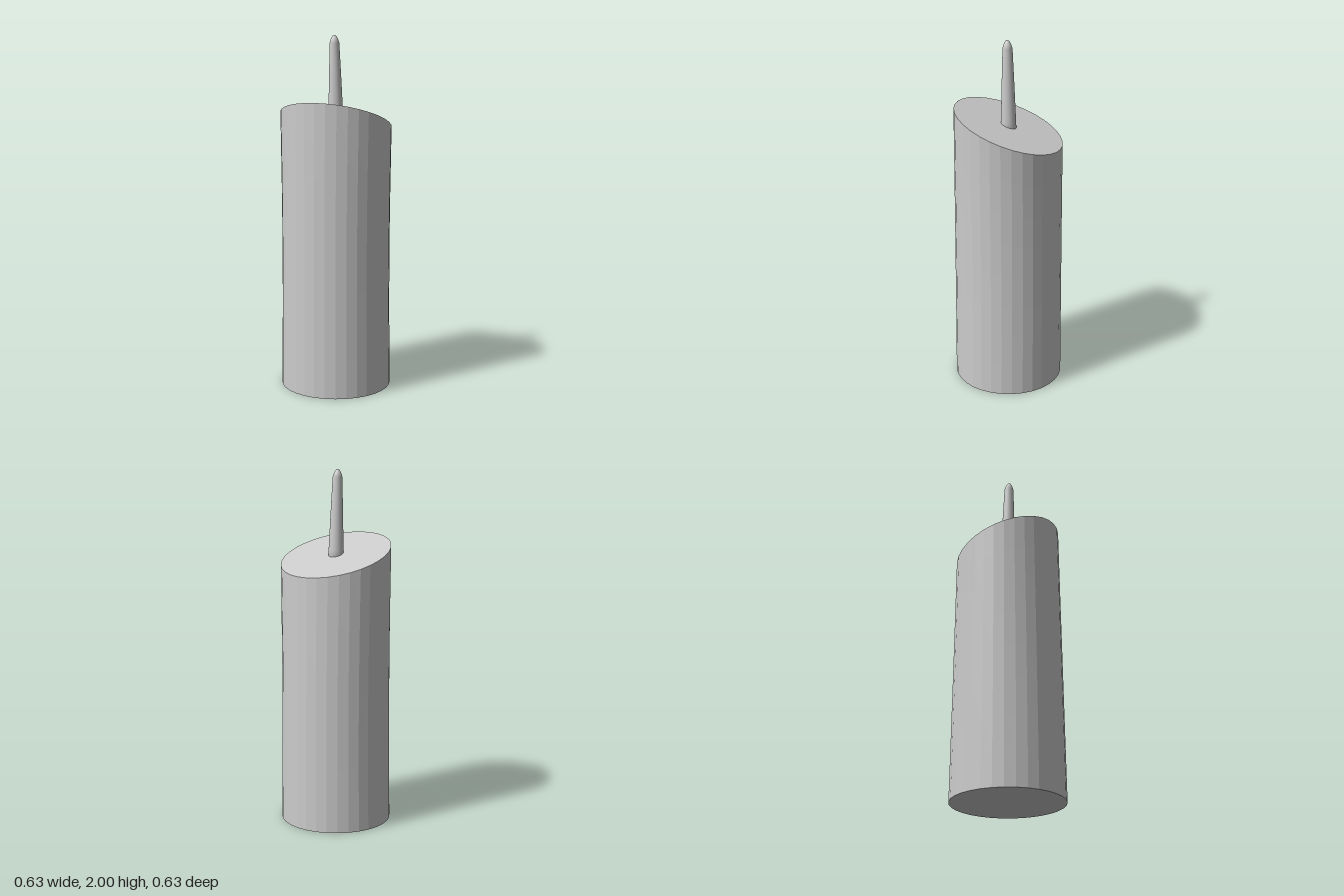
import * as THREE from 'three';

const lathe = (pts, sides) =>
  new THREE.LatheGeometry(pts.map(([r, y]) => new THREE.Vector2(r, y)), sides);

// Move every vertex of a geometry by a rule
function deform(geometry, rule) {
  const p = geometry.attributes.position;
  const v = new THREE.Vector3();
  for (let i = 0; i < p.count; i++) {
    rule(v.fromBufferAttribute(p, i));
    p.setXYZ(i, v.x, v.y, v.z);
  }
  geometry.computeVertexNormals();
  return geometry;
}

export function createModel() {
  const group = new THREE.Group();
  const add = (name, geometry, flatShading) => {
    const mesh = new THREE.Mesh(geometry,
      new THREE.MeshStandardMaterial({ color: 0xcccccc, flatShading }));
    mesh.name = name;
    group.add(mesh);
  };

  // Body: faceted cylinder, slightly waisted, cut by a slope that rises to the front
  const R = 0.315, rings = 8;
  const profile = [[0, 0]];
  for (let i = 0; i <= rings; i++) profile.push([R, i / rings]);
  profile.push([0, 1]);
  add('body', deform(lathe(profile, 32), v => {
    const t = v.y;
    v.x *= 1 - 0.025 * Math.sin(Math.PI * t);
    v.z *= 1 - 0.05 * t;
    v.y = t * (1.53 + 0.367 * v.z);
  }), true);

  // Wick: tapered pin with a blunt point, leaning a little; its foot sinks into the slope
  const wick = lathe([[0, 1.48], [0.044, 1.48], [0.042, 1.55], [0.035, 1.75],
    [0.027, 1.955], [0.021, 1.975], [0.011, 1.994], [0, 2]], 24);
  add('wick', deform(wick, v => {
    const lean = (v.y - 1.5) / 0.5;
    v.x -= 0.006 * lean;
    v.z += 0.009 * lean;
  }), false);

  return group;
}
